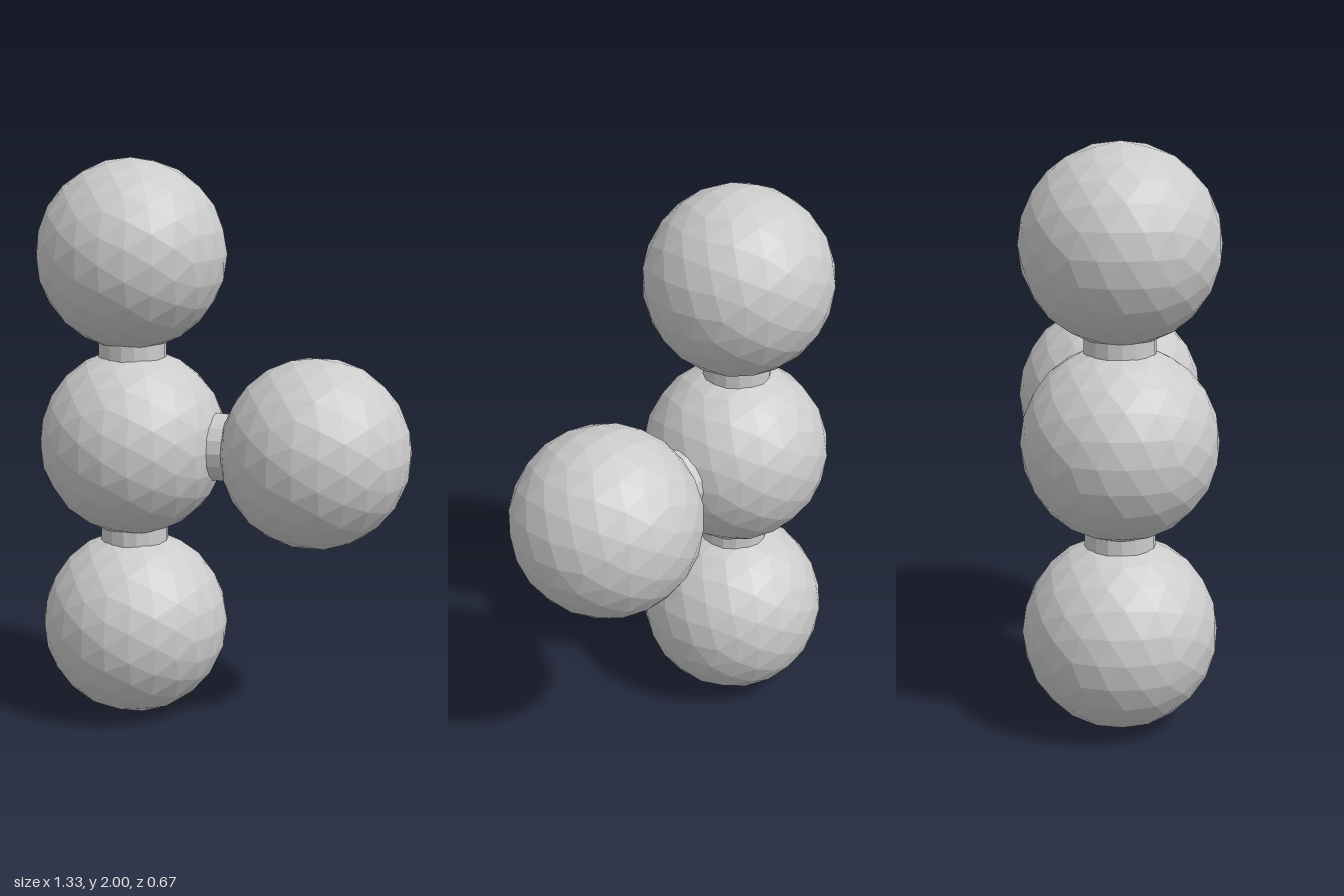
import * as THREE from 'three';

const R = 1 / 3;          // ball radius
const STEP = 2 / 3;       // distance between ball centres
const ROD_R = 0.12;

// Faceted ball of 320 triangles: an icosahedron halved twice
function ballGeometry() {
  const coarse = new THREE.IcosahedronGeometry(1, 1).attributes.position;
  const corners = Array.from(coarse.array);
  const order = Array.from({ length: coarse.count }, (_, i) => i);
  return new THREE.PolyhedronGeometry(corners, order, R, 1);
}

export function createModel() {
  const group = new THREE.Group();
  const material = new THREE.MeshStandardMaterial({ color: 0xcccccc, flatShading: true });

  const add = (name, geometry, x, y) => {
    const mesh = new THREE.Mesh(geometry, material);
    mesh.name = name;
    mesh.position.set(x, y, 0);
    group.add(mesh);
    return mesh;
  };

  // Column of three balls with one more beside the middle
  const ball = ballGeometry();
  add('bottomBall', ball, -R, 1 - STEP);
  add('middleBall', ball, -R, 1);
  add('topBall', ball, -R, 1 + STEP);
  add('sideBall', ball, R, 1);

  // Short rods joining neighbouring balls, ends buried inside them
  const rod = new THREE.CylinderGeometry(ROD_R, ROD_R, 0.2, 16);
  add('lowerRod', rod, -R, 1 - STEP / 2);
  add('upperRod', rod, -R, 1 + STEP / 2);
  add('sideRod', rod, 0, 1).rotation.z = Math.PI / 2;

  return group;
}
